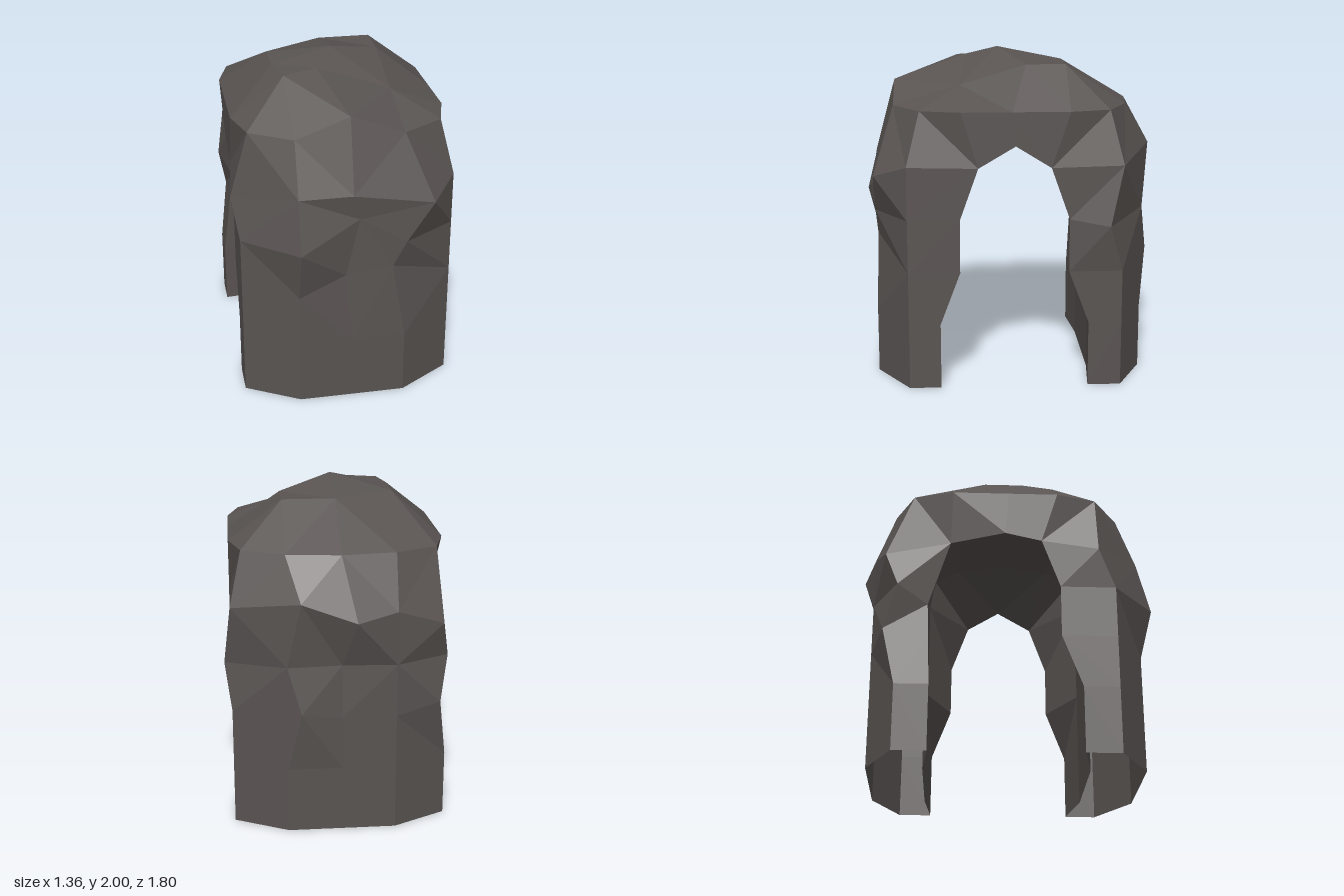
import * as THREE from 'three';

const X = [-0.64, -0.32, 0, 0.32, 0.64];
const ROWS = [0, 0.4, 0.72, 1.04, 1.36, 1.68];

// Regular faceted wall, with a few chipped or bulging points keyed "row,column"
function wall(column, zs, shoulder, chips) {
  return ROWS.map((y, r) => {
    const top = r === 5;
    const x = top && Math.abs(X[column]) > 0.5 ? Math.sign(X[column]) * 0.57 : X[column];
    return chips[r + ',' + column] || [x, y, top ? shoulder[column] : zs[column]];
  });
}

const frontChips = {
  '4,0': [-0.68, 1.28, 0.54],
  '3,1': [-0.32, 1.04, 0.9],
  '3,2': [0.04, 1.2, 0.8], '2,2': [-0.04, 0.84, 0.8],
  '4,3': [0.48, 1.28, 0.82], '2,3': [0.24, 0.88, 0.81],
  '5,2': [0, 1.8, 0.7],
};
const backChips = {
  '4,0': [-0.6, 1.26, -0.74], '2,0': [-0.59, 0.77, -0.74],
  '4,2': [-0.08, 1.32, -0.9], '3,2': [0, 1.04, -0.8],
  '4,3': [0.24, 1.43, -0.86], '2,3': [0.24, 0.76, -0.86],
  '3,4': [0.68, 1.0, -0.58],
};

// Roof points of each column: front, crown, back
const roof = [
  [[-0.64, 1.68, 0.3], [-0.64, 1.68, 0], [-0.64, 1.68, -0.34]],
  [[-0.32, 1.92, 0.3], [-0.36, 1.92, 0.1], [-0.36, 1.92, -0.14]],
  [[-0.12, 1.94, 0.26], [0, 2, 0.06], [0, 1.92, -0.34]],
  [[0.32, 1.8, 0.3], [0.32, 1.92, -0.1], [0.32, 1.92, -0.34]],
  [[0.64, 1.68, 0.3], [0.64, 1.68, 0], [0.64, 1.68, -0.34]],
];

// Doorway outline at both ends, from foot to ceiling
const doorY = [0, 0.4, 0.72, 1.04, 1.35, 1.35, 1.35];
const doorFront = [0.43, 0.43, 0.31, 0.31, 0.2, 0.2, 0.2];
const doorBack = [-0.46, -0.46, -0.34, -0.34, -0.23, -0.23, -0.23];
const doorChips = {
  '2,0': [-0.6, 0.7, -0.47], '3,0': [-0.57, 0.94, -0.48],
  '4,0': [-0.57, 1.36, -0.35], '5,0': [-0.57, 1.36, -0.35], '6,0': [-0.57, 1.36, -0.35],
};

// Wider chamber between the doorways
const chamberY = [0, 0.4, 0.72, 1.04, 1.36, 1.56, 1.64];
const chamberZ = [0.49, 0.49, 0.49, 0.49, 0.49, 0.46, 0.3];

function outerLoop(c) {
  const front = wall(c, [0.64, 0.82, 0.82, 0.82, 0.62], [0.54, 0.7, 0.7, 0.7, 0.54], frontChips);
  const back = wall(c, [-0.66, -0.82, -0.82, -0.82, -0.66], [-0.58, -0.7, -0.74, -0.7, -0.58], backChips);
  return [...front, ...roof[c], ...back.reverse()];
}

function doorLoop(c) {
  const front = doorY.map((y, r) => [X[c], y, doorFront[r]]);
  const back = doorY.map((y, r) => doorChips[r + ',' + c] || [X[c], y, doorBack[r]]);
  return [...front, [X[c], c === 4 ? 1.48 : 1.4, -0.02], ...back.reverse()];
}

function chamberLoop(c) {
  const front = chamberY.map((y, r) => [X[c], y, chamberZ[r]]);
  const back = chamberY.map((y, r) => [X[c], y, -chamberZ[r]]);
  return [...front, [X[c], 1.68, 0], ...back.reverse()];
}

function normal(a, b, c) {
  const [p, q, r] = [a, b, c].map((v) => new THREE.Vector3(...v));
  return q.sub(p).cross(r.sub(p)).normalize();
}

// Separate corners keep the facets flat; each quad is split along its flatter diagonal
function facets(name, quads, material) {
  const points = [];
  for (const [a, b, c, d] of quads) {
    const splitAC = normal(a, b, c).dot(normal(a, c, d));
    const splitBD = normal(a, b, d).dot(normal(b, c, d));
    if (splitAC >= splitBD) points.push(...a, ...b, ...c, ...a, ...c, ...d);
    else points.push(...a, ...b, ...d, ...b, ...c, ...d);
  }
  const geometry = new THREE.BufferGeometry();
  geometry.setAttribute('position', new THREE.Float32BufferAttribute(points, 3));
  geometry.computeVertexNormals();
  const mesh = new THREE.Mesh(geometry, material);
  mesh.name = name;
  return mesh;
}

export function createModel() {
  const group = new THREE.Group();
  group.name = 'rockArch';
  // The walls are hollow and open underneath
  const stone = new THREE.MeshStandardMaterial({ color: 0x595452, side: THREE.DoubleSide });
  stone.name = 'dark stone';

  const outer = X.map((_, c) => outerLoop(c));
  const inner = X.map((_, c) => (c % 4 === 0 ? doorLoop(c) : chamberLoop(c)));
  const last = outer[0].length - 1;
  const shell = [], chamber = [], ends = [];

  for (let j = 0; j < last; j++) {
    for (let c = 0; c < 4; c++) {
      shell.push([outer[c][j], outer[c + 1][j], outer[c + 1][j + 1], outer[c][j + 1]]);
      chamber.push([inner[c][j], inner[c][j + 1], inner[c + 1][j + 1], inner[c + 1][j]]);
    }
    ends.push([outer[4][j], inner[4][j], inner[4][j + 1], outer[4][j + 1]]);
    ends.push([outer[0][j], outer[0][j + 1], inner[0][j + 1], inner[0][j]]);
  }

  group.add(
    facets('outerShell', shell, stone),
    facets('chamber', chamber, stone),
    facets('endFaces', ends, stone),
  );
  return group;
}
